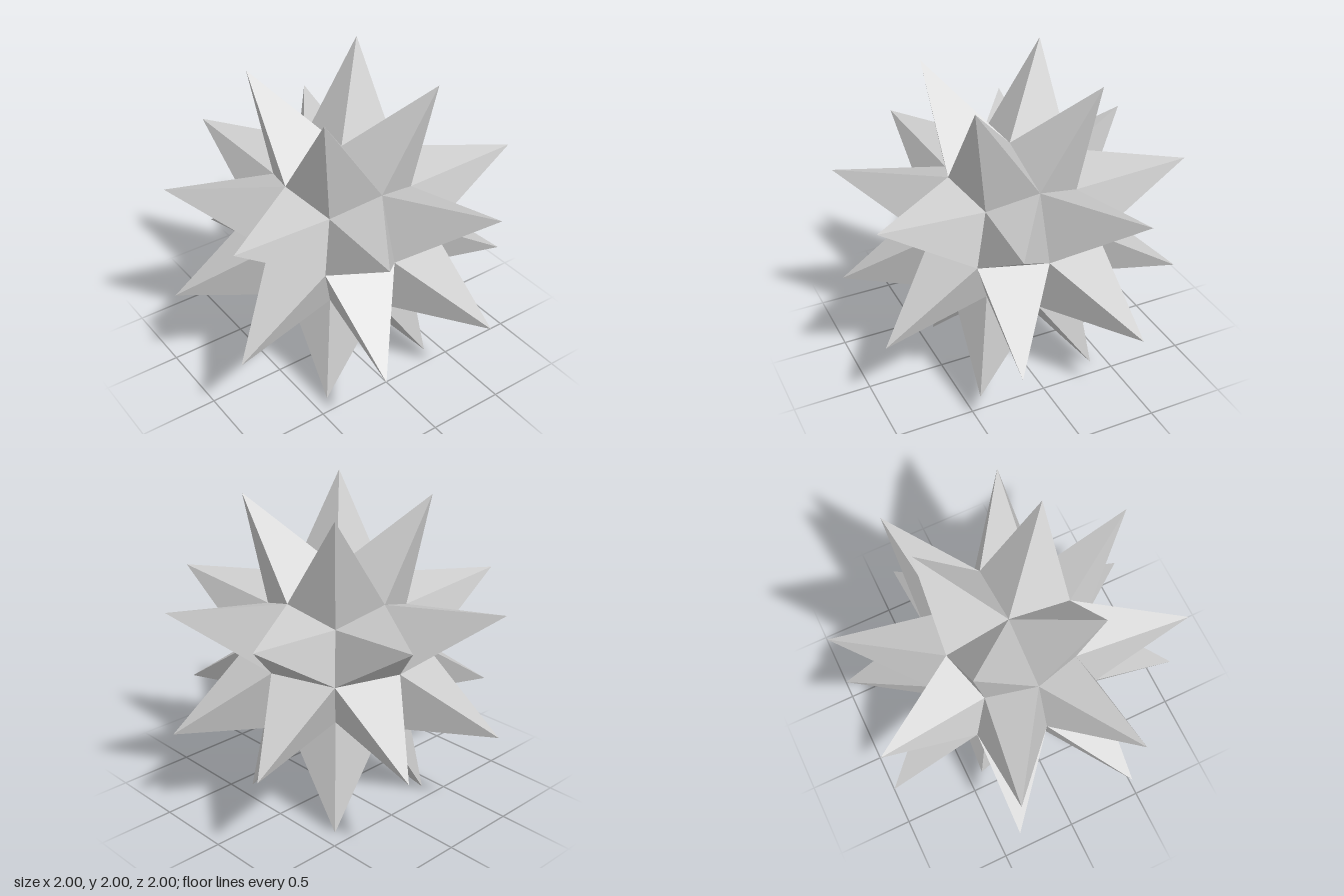
import * as THREE from 'three';

// Core vertices: face centres (A), edge midpoints (B) and corners (C) of a rounded cube
const A = 0.543, B = 0.407, C = 0.302;
const TIP = [0.399, 0.399, 1];
const BASE = [[0, 0, A], [B, 0, B], [C, C, C], [0, B, B]];

// Four-sided spike standing on one quad of the core
function spikeGeometry(axis, signs) {
  // Mirror by signs, then cycle the coordinates so the spike points along the axis
  const place = (p) => {
    const q = [0, 0, 0];
    p.forEach((v, i) => { q[(i + axis + 1) % 3] = v * signs[i]; });
    return q;
  };
  const flipped = signs[0] * signs[1] * signs[2] < 0;
  const positions = [];
  BASE.forEach((p, i) => {
    const next = BASE[(i + 1) % 4];
    const corners = flipped ? [next, p, TIP] : [p, next, TIP];
    corners.forEach((c) => positions.push(...place(c)));
  });
  const geometry = new THREE.BufferGeometry();
  geometry.setAttribute('position', new THREE.Float32BufferAttribute(positions, 3));
  geometry.computeVertexNormals();
  return geometry;
}

export function createModel() {
  const model = new THREE.Group();
  model.name = 'spikedStar';
  const material = new THREE.MeshStandardMaterial({ color: 0xcccccc, flatShading: true });

  // Four spikes on each of the six sides
  for (let axis = 0; axis < 3; axis++) {
    for (const w of [1, -1]) {
      const cluster = new THREE.Group();
      cluster.name = 'spikeCluster' + (w > 0 ? 'Positive' : 'Negative') + 'XYZ'[axis];
      for (const u of [1, -1]) {
        for (const v of [1, -1]) {
          const spike = new THREE.Mesh(spikeGeometry(axis, [u, v, w]), material);
          spike.name = 'spike';
          cluster.add(spike);
        }
      }
      model.add(cluster);
    }
  }
  model.position.y = 1;
  return model;
}
